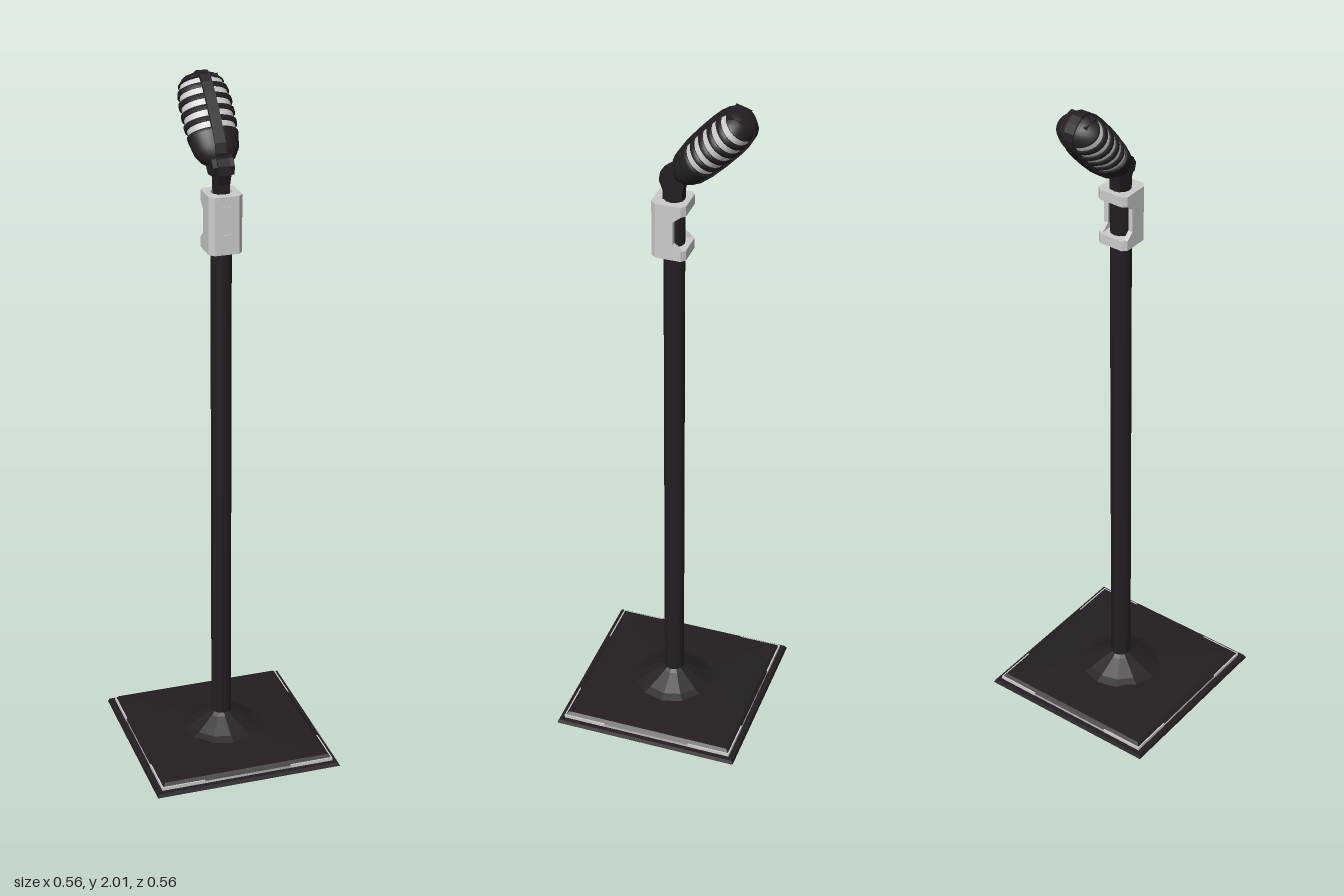
import * as THREE from 'three';

const dark = new THREE.MeshStandardMaterial({ color: 0x241e23, side: THREE.DoubleSide });
const darkFlat = new THREE.MeshStandardMaterial({ color: 0x241e23, flatShading: true });
const silver = new THREE.MeshStandardMaterial({ color: 0xcccccc, side: THREE.DoubleSide });

function add(parent, name, geometry, material, x = 0, y = 0, z = 0) {
  const mesh = new THREE.Mesh(geometry, material);
  mesh.name = name;
  mesh.position.set(x, y, z);
  parent.add(mesh);
  return mesh;
}

const vecs = (pts) => pts.map(([x, y]) => new THREE.Vector2(x, y));
const box = (w, h, d) => new THREE.BoxGeometry(w, h, d);

// square frustum given by half widths, standing between two heights
function frustum(bottom, top, y0, y1) {
  const g = new THREE.CylinderGeometry(top * Math.SQRT2, bottom * Math.SQRT2, y1 - y0, 4);
  return g.rotateY(Math.PI / 4).translate(0, (y0 + y1) / 2, 0);
}

// outline in (z, y), extruded symmetrically across x
function sideSlab(pts, width) {
  const g = new THREE.ExtrudeGeometry(new THREE.Shape(vecs(pts)), { depth: width, bevelEnabled: false });
  return g.translate(0, 0, -width / 2).rotateY(-Math.PI / 2);
}

// outline in (x, z), extruded upwards from y0 to y1
function planSlab(pts, y0, y1, holeRadius = 0) {
  const shape = new THREE.Shape(vecs(pts.map(([x, z]) => [x, -z])));
  if (holeRadius) shape.holes.push(new THREE.Path().absarc(0, 0, holeRadius, 0, Math.PI * 2, true));
  const g = new THREE.ExtrudeGeometry(shape, { depth: y1 - y0, bevelEnabled: false, curveSegments: 6 });
  return g.rotateX(-Math.PI / 2).translate(0, y0, 0);
}

function createBase() {
  const base = new THREE.Group();
  base.name = 'base';
  add(base, 'baseSlab', frustum(0.28, 0.275, 0, 0.01), darkFlat);
  add(base, 'baseTrim', frustum(0.2605, 0.2605, 0.01, 0.018), silver);
  add(base, 'basePlate', frustum(0.2605, 0.25, 0.018, 0.029), darkFlat);
  add(base, 'baseTop', frustum(0.25, 0.08, 0.029, 0.04), darkFlat);
  // bright strips meeting at each corner
  for (const sx of [-1, 1]) for (const sz of [-1, 1]) {
    add(base, 'cornerTrim', box(0.13, 0.01, 0.004), silver, sx * 0.197, 0.016, sz * 0.26);
    add(base, 'cornerTrim', box(0.004, 0.01, 0.13), silver, sx * 0.26, 0.016, sz * 0.197);
  }
  const foot = [[0.122, 0.025], [0.122, 0.038], [0.098, 0.047], [0.04, 0.08], [0.03, 0.088]];
  add(base, 'foot', new THREE.LatheGeometry(vecs(foot), 12), darkFlat);
  return base;
}

function createClamp() {
  const clamp = new THREE.Group();
  clamp.name = 'clamp';
  // channel open to the rear, with a collar at each end
  const channel = [[-0.048, -0.012], [-0.048, 0.038], [-0.035, 0.053], [0.035, 0.053], [0.048, 0.038],
    [0.048, -0.012], [0.034, -0.012], [0.034, 0.034], [-0.034, 0.034], [-0.034, -0.012]];
  const collar = [[-0.048, -0.034], [-0.048, 0.038], [-0.035, 0.053], [0.035, 0.053],
    [0.048, 0.038], [0.048, -0.034], [0.036, -0.045], [-0.036, -0.045]];
  add(clamp, 'clampChannel', planSlab(channel, 1.58, 1.695), silver);
  add(clamp, 'clampCollar', planSlab(collar, 1.555, 1.585, 0.03), silver);
  add(clamp, 'clampCollar', planSlab(collar, 1.69, 1.72, 0.03), silver);
  for (const s of [-1, 1]) {
    // braces sloping from the collars into the channel sides
    for (const [y, d] of [[1.585, 0.018], [1.69, -0.018]]) {
      const brace = sideSlab([[-0.034, y], [-0.012, y], [-0.012, y + d]], 0.014);
      add(clamp, 'clampBrace', brace, silver, s * 0.041);
    }
    add(clamp, 'clampPad', box(0.024, 0.03, 0.004), silver, 0, 1.638 + s * 0.04, 0.054);
  }
  return clamp;
}

// head half-width fraction against length along its axis
const profile = [[0, 0.4], [0.015, 0.64], [0.04, 0.84], [0.08, 0.95], [0.13, 1], [0.19, 1],
  [0.22, 0.96], [0.245, 0.86], [0.262, 0.68], [0.272, 0.4], [0.275, 0]];
function radiusAt(t) {
  const i = Math.max(1, profile.findIndex(([p]) => p >= t));
  const [a, ra] = profile[i - 1], [b, rb] = profile[i];
  return ra + (rb - ra) * (t - a) / (b - a);
}

function createHead() {
  const head = new THREE.Group();
  head.name = 'head';
  const W = 0.075, D = 0.056;
  const oval = (pts) => new THREE.LatheGeometry(vecs(pts), 28).scale(W, 1, D);

  const bowl = profile.filter(([t]) => t <= 0.08).map(([t, r]) => [r, t]);
  add(head, 'lowerShell', oval([[0, 0], ...bowl, [radiusAt(0.09), 0.09], [0.8, 0.09]]), dark);
  const cap = profile.filter(([t]) => t >= 0.245).map(([t, r]) => [r, t]);
  add(head, 'topCap', oval([[0.7, 0.243], [radiusAt(0.243), 0.243], ...cap]), dark);

  // bright core showing between the dark ribs
  const core = [0.085, 0.12, 0.16, 0.2, 0.225, 0.245].map((t) => [radiusAt(t) * 0.92, t]);
  add(head, 'grilleCore', oval(core), silver);
  for (let i = 0; i < 4; i++) {
    const a = 0.109 + i * 0.034, b = a + 0.014;
    const ra = radiusAt(a), rb = radiusAt(b);
    add(head, 'grilleRib', oval([[ra * 0.88, a], [ra, a], [rb, b], [rb * 0.88, b]]), dark);
  }

  // spine running over the front, top and rear
  const half = profile.map(([t, r]) => [r * D * 1.05 + 0.001, t * 1.01]);
  const outline = [...half, ...half.slice(0, -1).reverse().map(([z, t]) => [-z, t])];
  add(head, 'spine', sideSlab(outline, 0.03), dark);
  for (const s of [-1, 1]) {
    add(head, 'capRidge', box(0.024, 0.012, 0.045), dark, s * 0.028, 0.257, 0.02).rotation.x = 0.45;
  }
  head.position.set(0, 1.79, -0.015);
  head.rotation.x = -0.75;
  return head;
}

function createNeck() {
  const neck = new THREE.Group();
  neck.name = 'neck';
  const stem = [[0.027, 1.7], [0.027, 1.745], [0.038, 1.775], [0.034, 1.8], [0.015, 1.815],
    [-0.03, 1.815], [-0.035, 1.78], [-0.027, 1.745], [-0.027, 1.7]];
  add(neck, 'neckStem', sideSlab(stem, 0.034), dark);
  // swivel ears either side of the stem
  const ear = [[0.02, 1.77], [0.026, 1.795], [0.01, 1.815], [-0.04, 1.83], [-0.045, 1.79], [-0.02, 1.765]];
  add(neck, 'swivelEars', sideSlab(ear, 0.062), dark);
  return neck;
}

export function createModel() {
  const model = new THREE.Group();
  model.name = 'microphoneStand';
  model.add(createBase());
  add(model, 'pole', new THREE.CylinderGeometry(0.03, 0.03, 1.65, 12), dark, 0, 0.885, 0);
  model.add(createClamp(), createNeck(), createHead());
  return model;
}
